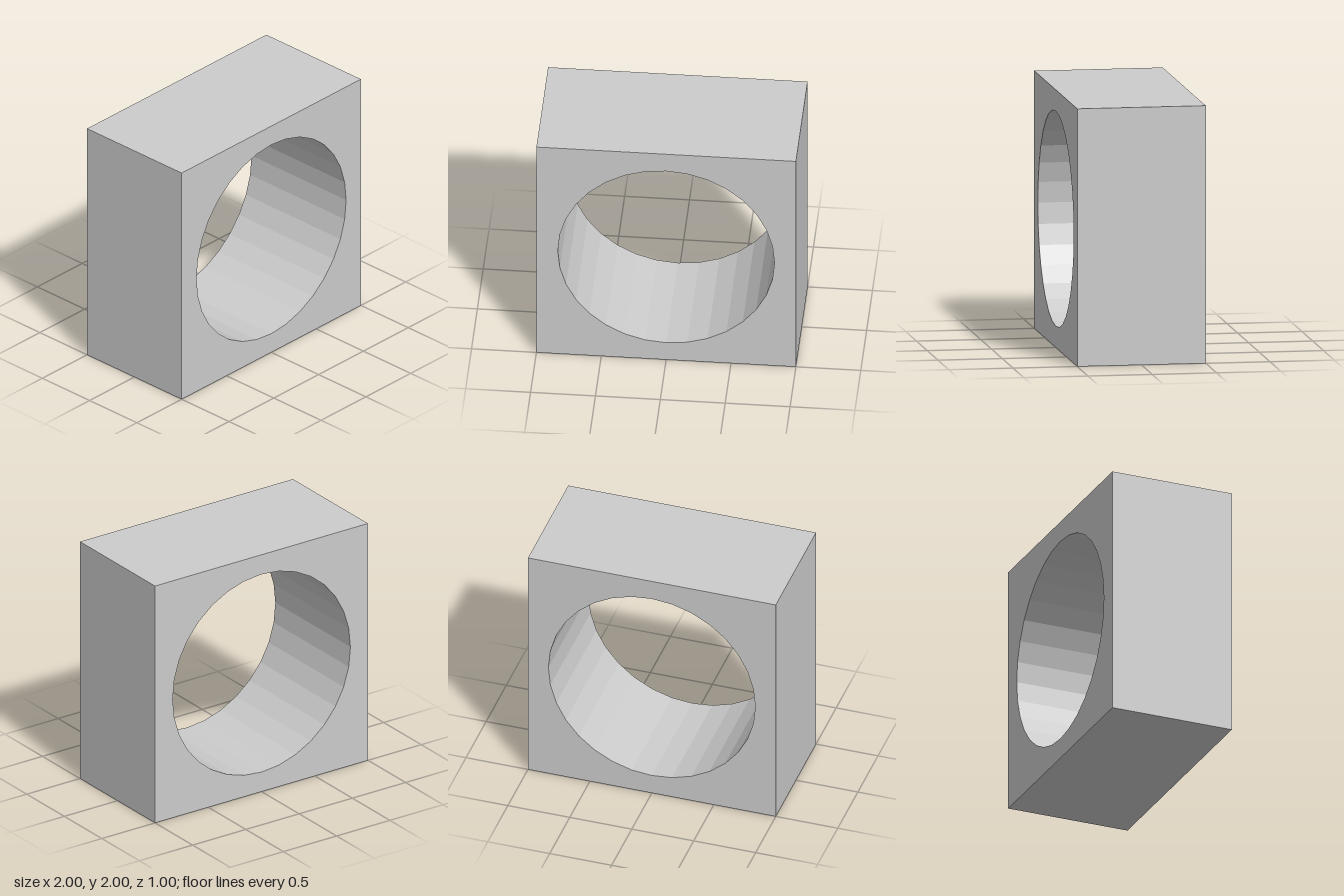
import * as THREE from 'three';

const SIZE = 2, DEPTH = 1, HOLE_RADIUS = 0.835, HOLE_SIDES = 32;

export function createModel() {
  const group = new THREE.Group();
  const h = SIZE / 2;

  // Square outline
  const outline = new THREE.Shape([
    new THREE.Vector2(-h, 0),
    new THREE.Vector2(h, 0),
    new THREE.Vector2(h, SIZE),
    new THREE.Vector2(-h, SIZE),
  ]);

  // Faceted round bore through the middle
  const bore = [];
  for (let i = 0; i < HOLE_SIDES; i++) {
    const a = (-i / HOLE_SIDES) * Math.PI * 2;
    bore.push(new THREE.Vector2(Math.cos(a) * HOLE_RADIUS, h + Math.sin(a) * HOLE_RADIUS));
  }
  outline.holes.push(new THREE.Path(bore));

  const geometry = new THREE.ExtrudeGeometry(outline, { depth: DEPTH, bevelEnabled: false });
  geometry.translate(0, 0, -DEPTH / 2);

  const block = new THREE.Mesh(
    geometry,
    new THREE.MeshStandardMaterial({ color: 0xcccccc, flatShading: true })
  );
  block.name = 'blockWithRoundHole';
  group.add(block);
  return group;
}
